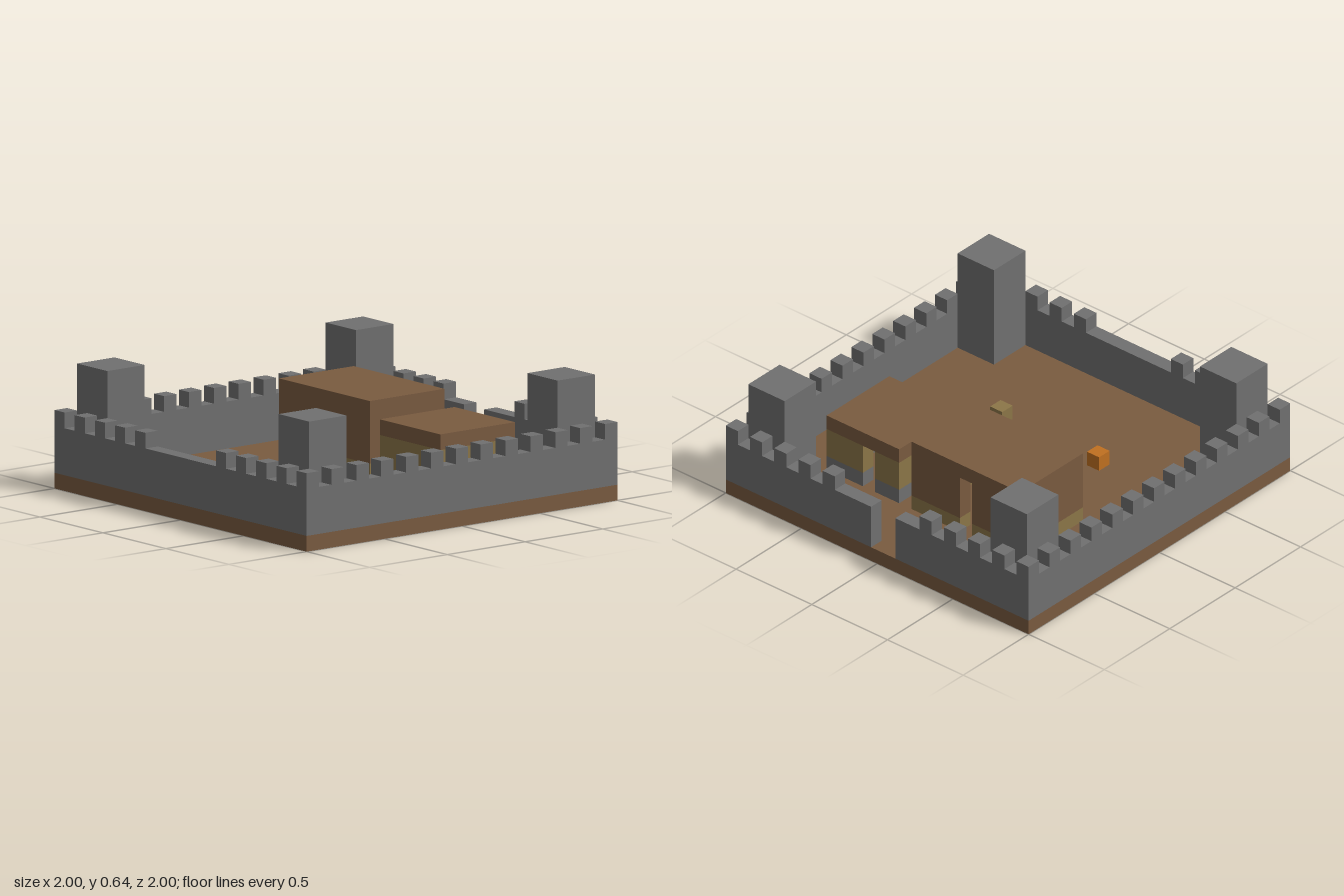
import * as THREE from 'three';

const U = 0.08; // one block

function mat(name, color) {
  const m = new THREE.MeshStandardMaterial({ color });
  m.name = name;
  return m;
}

export function createModel() {
  const stone = mat('stone grey', 0x707070);
  const earth = mat('earth brown', 0x7a5b40);
  const plank = mat('plank tan', 0x8c7648);
  const orange = mat('orange', 0xc07020);

  const root = new THREE.Group();
  root.name = 'fort';

  const group = (name) => {
    const g = new THREE.Group();
    g.name = name;
    root.add(g);
    return g;
  };
  // Box given by its lower and upper limits on each axis
  const block = (parent, name, material, [x0, x1], [y0, y1], [z0, z1]) => {
    const mesh = new THREE.Mesh(new THREE.BoxGeometry(x1 - x0, y1 - y0, z1 - z0), material);
    mesh.position.set((x0 + x1) / 2, (y0 + y1) / 2, (z0 + z1) / 2);
    mesh.name = name;
    parent.add(mesh);
  };

  block(root, 'ground', earth, [-1, 1], [0, U], [-1, 1]);

  // Curtain walls, with an open gate in the back one
  const walls = group('walls');
  const wallY = [U, 0.32];
  block(walls, 'frontWall', stone, [-1, 1], wallY, [0.92, 1]);
  block(walls, 'backWallRight', stone, [-1, -0.12], wallY, [-1, -0.92]);
  block(walls, 'backWallLeft', stone, [0.04, 1], wallY, [-1, -0.92]);
  block(walls, 'rightWall', stone, [-1, -0.92], wallY, [-0.92, 0.92]);
  block(walls, 'leftWall', stone, [0.92, 1], wallY, [-0.92, 0.92]);

  // Merlons on every second block; the middle of front and back stays flat
  const merlons = group('merlons');
  const topY = [0.32, 0.4];
  for (let k = 0; k <= 12; k++) {
    const a = -1 + k * 2 * U;
    const span = [a, a + U];
    for (const edge of [[-1, -0.92], [0.92, 1]]) {
      if (k < 5 || k > 7) block(merlons, 'merlon', stone, span, topY, edge);
      if (k > 0 && k < 12) block(merlons, 'merlon', stone, edge, topY, span);
    }
  }

  // Corner towers
  const towers = group('towers');
  const corners = [[-0.92, -0.68], [0.68, 0.92]];
  for (const x of corners) {
    for (const z of corners) block(towers, 'tower', stone, x, [U, 0.64], z);
  }

  // Hollow house: layered walls, a doorway at the back and a flat roof
  const house = (name, [x0, x1], [z0, z1], [d0, d1], layers, roofY) => {
    const g = group(name);
    for (const [material, y0, y1] of layers) {
      const y = [y0, y1];
      block(g, 'houseFront', material, [x0, x1], y, [z1 - U, z1]);
      block(g, 'houseBackRight', material, [x0, d0], y, [z0, z0 + U]);
      block(g, 'houseBackLeft', material, [d1, x1], y, [z0, z0 + U]);
      block(g, 'houseRightSide', material, [x0, x0 + U], y, [z0 + U, z1 - U]);
      block(g, 'houseLeftSide', material, [x1 - U, x1], y, [z0 + U, z1 - U]);
    }
    block(g, 'roof', earth, [x0, x1], [roofY, roofY + U], [z0, z1]);
  };
  house('largeHouse', [-0.6, 0.12], [-0.6, -0.12], [-0.28, -0.2],
    [[plank, 0.08, 0.16], [earth, 0.16, 0.4]], 0.4);
  house('smallHouse', [0.2, 0.68], [-0.6, -0.12], [0.36, 0.44],
    [[stone, 0.08, 0.16], [plank, 0.16, 0.32]], 0.32);

  // Single blocks in the courtyard
  block(root, 'campfire', orange, [-0.36, -0.28], [U, 2 * U], [0.28, 0.36]);
  block(root, 'crate', plank, [0.28, 0.36], [U, 2 * U], [0.28, 0.36]);

  return root;
}
